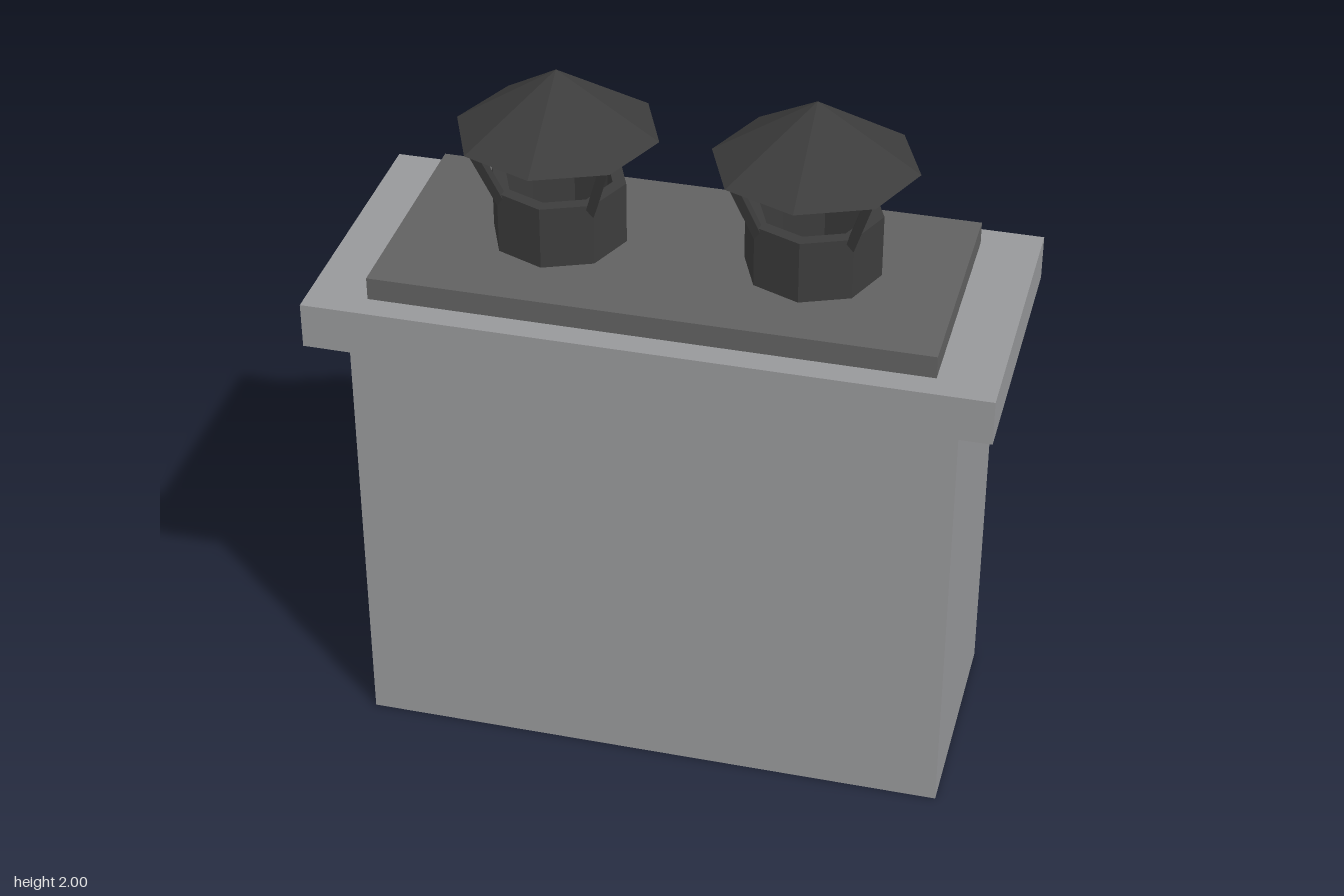
import * as THREE from 'three';

const stone = new THREE.MeshStandardMaterial({ name: 'greyStone', color: 0x98999b });
const plateGrey = new THREE.MeshStandardMaterial({ name: 'darkGreyPlate', color: 0x626262 });
const metal = new THREE.MeshStandardMaterial({ name: 'charcoalMetal', color: 0x3c3c3c });
stone.side = THREE.DoubleSide; // the stack is a hollow shell, open below
metal.flatShading = true;

function add(parent, name, geometry, material, x = 0, y = 0, z = 0) {
  const mesh = new THREE.Mesh(geometry, material);
  mesh.name = name;
  mesh.position.set(x, y, z);
  parent.add(mesh);
  return mesh;
}

// Box standing between two heights
function slab(parent, name, width, depth, y0, y1, material) {
  return add(parent, name, new THREE.BoxGeometry(width, y1 - y0, depth), material, 0, (y0 + y1) / 2, 0);
}

// Square bar running between two points
function strut(parent, from, to, size) {
  const direction = to.clone().sub(from);
  const mesh = add(parent, 'strut', new THREE.BoxGeometry(size, direction.length(), size), metal);
  mesh.position.copy(from).add(to).multiplyScalar(0.5);
  mesh.quaternion.setFromUnitVectors(new THREE.Vector3(0, 1, 0), direction.normalize());
}

function chimneyPot(x) {
  const pot = new THREE.Group();
  pot.name = 'chimneyPot';
  pot.position.set(x, 0, -0.011);

  // Eight-sided flue with a thick rim and hollow inside
  const profile = [[0.188, 1.5], [0.188, 1.68], [0.15, 1.68], [0.15, 1.5]]
    .map(([r, y]) => new THREE.Vector2(r, y));
  add(pot, 'flue', new THREE.LatheGeometry(profile, 8), metal);

  // Four struts leaning outwards to the hood
  for (const sx of [-1, 1]) {
    for (const sz of [-1, 1]) {
      strut(pot, new THREE.Vector3(sx * 0.122, 1.65, sz * 0.122), new THREE.Vector3(sx * 0.178, 1.825, sz * 0.178), 0.025);
    }
  }

  // Pointed eight-sided hood
  add(pot, 'hood', new THREE.ConeGeometry(0.28, 0.18, 8), metal, 0, 1.91, 0);
  return pot;
}

export function createModel() {
  const model = new THREE.Group();
  model.name = 'chimney';

  // Stack without its bottom face (the fourth side of the box)
  const stack = slab(model, 'stack', 1.67, 0.665, 0, 1.305, stone);
  const index = Array.from(stack.geometry.index.array);
  index.splice(12, 12); // top and bottom
  stack.geometry.setIndex(index);
  stack.geometry.clearGroups();

  slab(model, 'crown', 1.87, 0.83, 1.305, 1.435, stone);
  slab(model, 'topPlate', 1.54, 0.684, 1.435, 1.5, plateGrey);

  for (const x of [-0.335, 0.368]) model.add(chimneyPot(x));
  return model;
}
